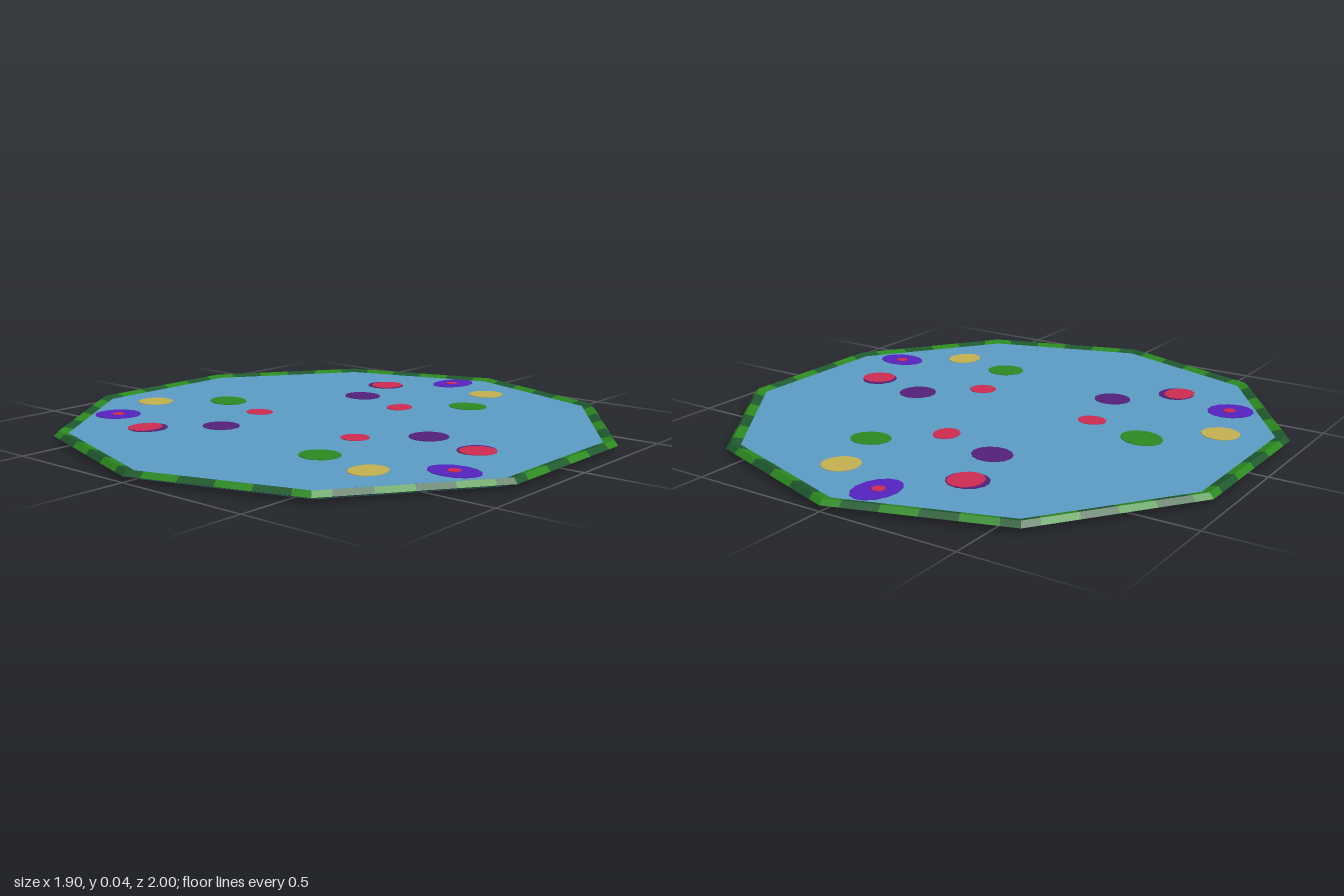
import * as THREE from 'three';

const mat = (name, color) => {
  const m = new THREE.MeshStandardMaterial({ color });
  m.name = name;
  return m;
};

const SIDES = 10;
const WATER_Y = 0.028;

// Point on the decagon outline; t runs 0..SIDES, starting at the front corner
function outline(t, r, y) {
  const corner = (k) => {
    const a = (k / SIDES) * Math.PI * 2;
    return new THREE.Vector3(Math.sin(a) * r, y, Math.cos(a) * r);
  };
  const k = Math.floor(t);
  return corner(k).lerp(corner(k + 1), t - k);
}

// One colour of the banded rim: sweeps the profile along every matching band
function rimGeometry(parity) {
  const profile = [[0.95, 0.004], [1, 0.02], [0.983, 0.037], [0.95, WATER_Y]];
  const steps = 10; // half bands per side
  const pos = [];
  for (let i = 0; i < SIDES * steps; i++) {
    if (Math.floor((i + 1) / 2) % 2 !== parity) continue;
    const t0 = i / steps, t1 = (i + 1) / steps;
    for (let j = 0; j < profile.length - 1; j++) {
      const a = outline(t0, ...profile[j]), b = outline(t1, ...profile[j]);
      const c = outline(t1, ...profile[j + 1]), d = outline(t0, ...profile[j + 1]);
      for (const p of [a, b, c, a, c, d]) pos.push(p.x, p.y, p.z);
    }
  }
  const g = new THREE.BufferGeometry();
  g.setAttribute('position', new THREE.Float32BufferAttribute(pos, 3));
  g.computeVertexNormals();
  return g;
}

export function createModel() {
  const model = new THREE.Group();
  model.name = 'pond';
  const blue = mat('waterBlue', 0x5d9cc5);
  const leaf = mat('leafGreen', 0x2c8a20);
  const moss = mat('mossGreen', 0x1f5a2e);
  const purple = mat('darkPurple', 0x54207c);
  const violet = mat('violet', 0x5522c0);
  const red = mat('crimson', 0xd02c52);
  const yellow = mat('sand', 0xc6b252);

  const add = (name, geo, material) => {
    const m = new THREE.Mesh(geo, material);
    m.name = name;
    model.add(m);
    return m;
  };

  // Pond body with a narrow bevel under the rim
  const base = add('pondFloor', new THREE.CylinderGeometry(0.95, 0.943, 0.004, SIDES).toNonIndexed(), blue);
  base.geometry.computeVertexNormals();
  base.position.y = 0.002;
  const water = new THREE.CylinderGeometry(0.952, 0.945, WATER_Y - 0.004, SIDES);
  add('water', water, blue).position.y = (WATER_Y + 0.004) / 2;

  // Banded rim
  add('rimMoss', rimGeometry(0), moss);
  add('rimLeaf', rimGeometry(1), leaf);

  // Thin floating patches: x, z, half width, half depth, turn
  const patch = (name, material, layer, list) => list.forEach(([x, z, rx, rz, turn = 0]) => {
    const m = add(name, new THREE.CylinderGeometry(1, 1, 0.002, 14), material);
    m.scale.set(rx, 1, rz);
    m.rotation.y = turn;
    m.position.set(x, WATER_Y + 0.001 + layer * 0.002, z);
  });

  patch('violetFlower', violet, 0, [
    [-0.075, -0.825, 0.07, 0.095, -0.1], [0.745, 0.335, 0.092, 0.068], [-0.663, 0.465, 0.083, 0.078, 0.5]]);
  patch('flowerCentre', red, 1, [
    [-0.078, -0.82, 0.022, 0.022], [0.742, 0.332, 0.022, 0.022], [-0.66, 0.465, 0.022, 0.022]]);
  patch('sandPatch', yellow, 0, [
    [0.158, -0.72, 0.066, 0.068], [0.54, 0.495, 0.062, 0.07], [-0.735, 0.22, 0.068, 0.065]]);
  patch('lilyPad', leaf, 0, [
    [0.235, -0.48, 0.073, 0.063, 0.2], [0.302, 0.445, 0.071, 0.067], [-0.53, 0.03, 0.081, 0.067, -0.4]]);
  patch('purplePad', purple, 0, [
    [-0.196, -0.38, 0.074, 0.066, -0.2], [0.417, 0.017, 0.069, 0.07], [-0.237, 0.355, 0.068, 0.063]]);
  patch('redPetal', red, 0, [
    [0.048, -0.3, 0.047, 0.056, 0.3], [0.235, 0.188, 0.05, 0.049], [-0.296, 0.1, 0.053, 0.045]]);
  patch('blossomBase', purple, 0, [
    [-0.263, -0.612, 0.073, 0.068], [0.648, 0.073, 0.064, 0.068], [-0.41, 0.54, 0.066, 0.07]]);
  patch('blossom', red, 1, [
    [-0.257, -0.613, 0.06, 0.066], [0.66, 0.083, 0.063, 0.062], [-0.42, 0.545, 0.055, 0.065]]);

  return model;
}
